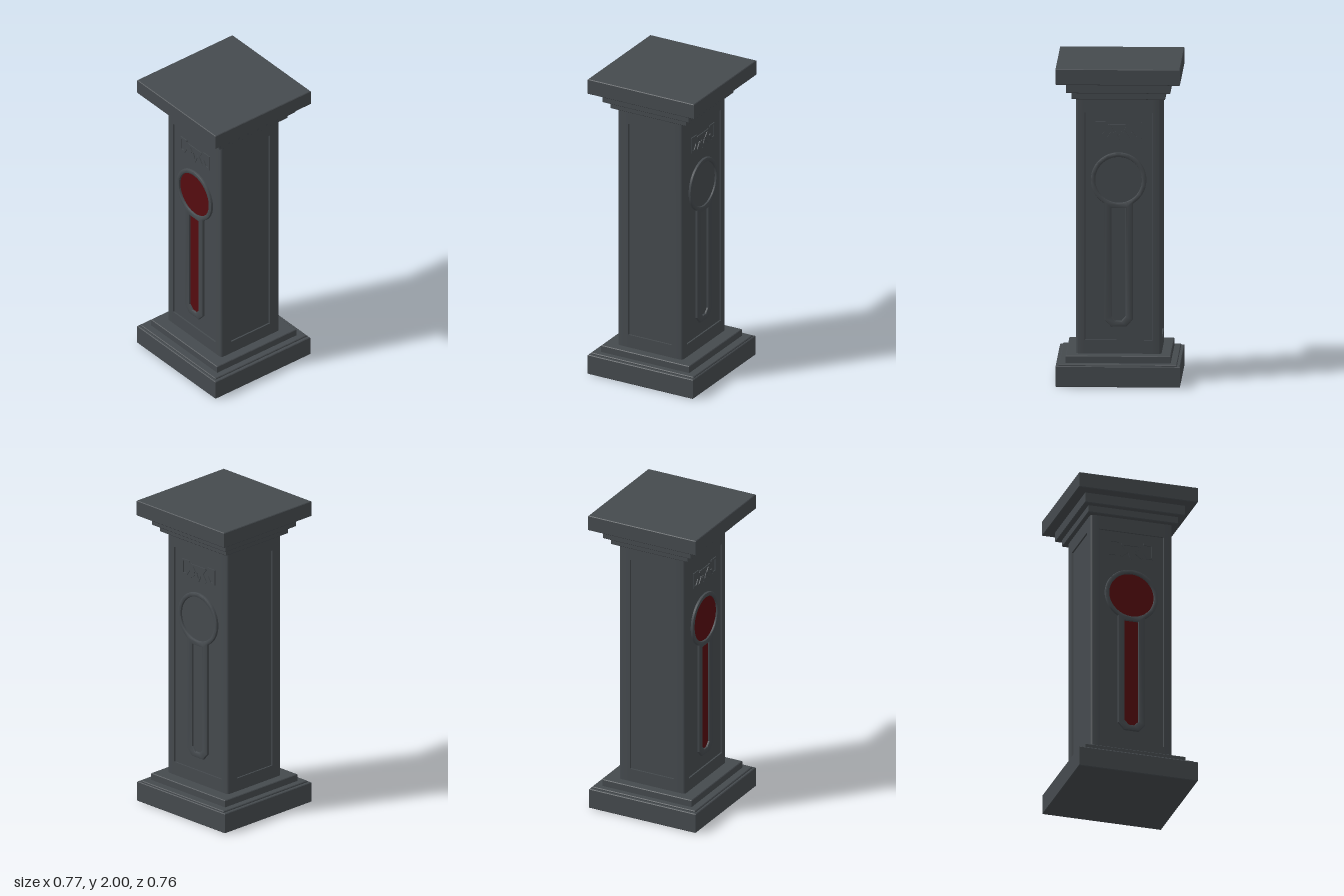
import * as THREE from 'three';
import { toCreasedNormals } from 'three/addons/utils/BufferGeometryUtils.js';

const stone = new THREE.MeshStandardMaterial({ color: 0x454a4e });
stone.name = 'dark stone';
const red = new THREE.MeshStandardMaterial({ color: 0x560c0f });
red.name = 'deep red';

const HX = 0.265, HZ = 0.233;   // shaft half width and half depth
const Y0 = 0.18, Y1 = 1.79;     // shaft bottom and top
const P0 = 0.27, P1 = 1.7;      // panel bottom and top
const PX = 0.21, PZ = 0.155;    // panel half widths, front and side
const R = 0.01;                 // panel recess
const CY = 1.277;               // disc centre height

function add(parent, name, geometry, material, x = 0, y = 0, z = 0) {
  const m = new THREE.Mesh(geometry, material);
  m.name = name;
  m.position.set(x, y, z);
  parent.add(m);
  return m;
}

// Square slab with a small bevel on every edge
function slab(parent, name, hx, hz, y0, y1, z = 0) {
  const b = 0.004;
  const s = new THREE.Shape([[-hx, -hz], [hx, -hz], [hx, hz], [-hx, hz]].map(p => new THREE.Vector2(...p)));
  const g = new THREE.ExtrudeGeometry(s, {
    depth: y1 - y0 - 2 * b, bevelSize: b, bevelThickness: b, bevelOffset: -b, bevelSegments: 1,
  });
  g.rotateX(-Math.PI / 2);
  add(parent, name, g, stone, 0, y0 + b, z);
}

// Shaft plan: rounded corners and a shallow recess in each side
function shaftPlan() {
  const c = 0.022, s = new THREE.Shape();
  s.moveTo(HX, -HZ + c);
  s.lineTo(HX, -PZ).lineTo(HX - R, -PZ + 0.004).lineTo(HX - R, PZ - 0.004).lineTo(HX, PZ).lineTo(HX, HZ - c);
  s.quadraticCurveTo(HX, HZ, HX - c, HZ);
  s.lineTo(PX, HZ).lineTo(PX - 0.004, HZ - R).lineTo(-PX + 0.004, HZ - R).lineTo(-PX, HZ).lineTo(-HX + c, HZ);
  s.quadraticCurveTo(-HX, HZ, -HX, HZ - c);
  s.lineTo(-HX, PZ).lineTo(-HX + R, PZ - 0.004).lineTo(-HX + R, -PZ + 0.004).lineTo(-HX, -PZ).lineTo(-HX, -HZ + c);
  s.quadraticCurveTo(-HX, -HZ, -HX + c, -HZ);
  s.lineTo(-PX, -HZ).lineTo(-PX + 0.004, -HZ + R).lineTo(PX - 0.004, -HZ + R).lineTo(PX, -HZ).lineTo(HX - c, -HZ);
  s.quadraticCurveTo(HX, -HZ, HX, -HZ + c);
  return s;
}

// Inner stem outline with a clipped foot
function stemPath(PathType) {
  return new PathType([[-0.044, 1.1], [-0.044, 0.42], [-0.018, 0.392], [0.018, 0.392], [0.044, 0.42], [0.044, 1.1]]
    .map(p => new THREE.Vector2(...p)));
}

// Raised frame: a ring joined to a long narrow stem
function keyholeFrame() {
  const r = 0.172, w = 0.088, a = Math.asin(w / r);
  const s = new THREE.Shape();
  s.absarc(0, CY, r, -Math.PI / 2 + a, Math.PI * 1.5 - a, false);
  s.lineTo(-w, 0.4).lineTo(-0.048, 0.355).lineTo(0.048, 0.355).lineTo(w, 0.4);
  const hole = new THREE.Path();
  hole.absarc(0, CY, 0.144, 0, Math.PI * 2, true);
  s.holes.push(hole, stemPath(THREE.Path));
  const b = 0.008;
  const g = new THREE.ExtrudeGeometry(s, {
    depth: 0.016, bevelSize: b, bevelThickness: b, bevelOffset: -b, bevelSegments: 2, curveSegments: 48,
  });
  return toCreasedNormals(g, 0.6);
}

// Thin bar between two points, used for the carved ornament
function bar(parent, x0, y0, x1, y1) {
  const g = new THREE.BoxGeometry(Math.hypot(x1 - x0, y1 - y0) + 0.01, 0.012, 0.008);
  const m = add(parent, 'ornamentBar', g, stone, (x0 + x1) / 2, (y0 + y1) / 2, HZ - R + 0.002);
  m.rotation.z = Math.atan2(y1 - y0, x1 - x0);
}

// Abstract ornament: two brackets around a zigzag
function ornament(parent) {
  const g = new THREE.Group();
  g.name = 'ornament';
  parent.add(g);
  const strokes = [
    [[0.085, 1.635], [0.138, 1.635], [0.138, 1.545], [0.105, 1.545], [0.085, 1.575]],
    [[0, 1.62], [0.06, 1.62], [0.035, 1.585], [0.065, 1.54], [0.02, 1.575], [0, 1.53]],
  ];
  for (const side of [-1, 1]) for (const s of strokes)
    for (let i = 1; i < s.length; i++) bar(g, side * s[i - 1][0], s[i - 1][1], side * s[i][0], s[i][1]);
}

// Decoration of one broad face; the inlay is coloured only at the front
function faceRelief(name, inlay) {
  const g = new THREE.Group();
  g.name = name;
  add(g, 'keyholeFrame', keyholeFrame(), stone, 0, 0, HZ - 0.018);
  add(g, 'discInlay', new THREE.CircleGeometry(0.146, 48), inlay, 0, CY, HZ - R + 0.003);
  add(g, 'stemInlay', new THREE.ShapeGeometry(stemPath(THREE.Shape)), inlay, 0, 0, HZ - R + 0.003);
  ornament(g);
  return g;
}

export function createModel() {
  const model = new THREE.Group();
  model.name = 'pedestal';

  // Stepped base
  slab(model, 'plinth', 0.385, 0.377, 0, 0.13, 0.003);
  slab(model, 'plinthLip', 0.365, 0.365, 0.125, 0.14);
  slab(model, 'baseStep', 0.325, 0.315, 0.13, 0.185, 0.003);

  // Shaft with recessed panels
  const shaft = new THREE.Group();
  shaft.name = 'shaft';
  shaft.position.z = 0.004;
  model.add(shaft);
  const body = new THREE.ExtrudeGeometry(shaftPlan(), { depth: Y1 - Y0, bevelEnabled: false, curveSegments: 6 });
  body.rotateX(-Math.PI / 2);
  add(shaft, 'shaftBody', toCreasedNormals(body, 0.5), stone, 0, Y0, 0);

  // Rails closing the panels above and below
  for (const [a, b] of [[Y0, P0], [P1, Y1]]) {
    add(shaft, 'broadRail', new THREE.BoxGeometry(PX * 2, b - a, HZ * 2), stone, 0, (a + b) / 2, 0);
    add(shaft, 'sideRail', new THREE.BoxGeometry(HX * 2, b - a, PZ * 2), stone, 0, (a + b) / 2, 0);
  }

  // Front and back reliefs
  shaft.add(faceRelief('frontRelief', red));
  const back = faceRelief('backRelief', stone);
  back.rotation.y = Math.PI;
  shaft.add(back);

  // Stepped capital
  slab(model, 'lowerCapStep', 0.29, 0.27, 1.79, 1.845);
  slab(model, 'upperCapStep', 0.323, 0.308, 1.835, 1.905);
  slab(model, 'capSlab', 0.385, 0.38, 1.9, 2);

  return model;
}
